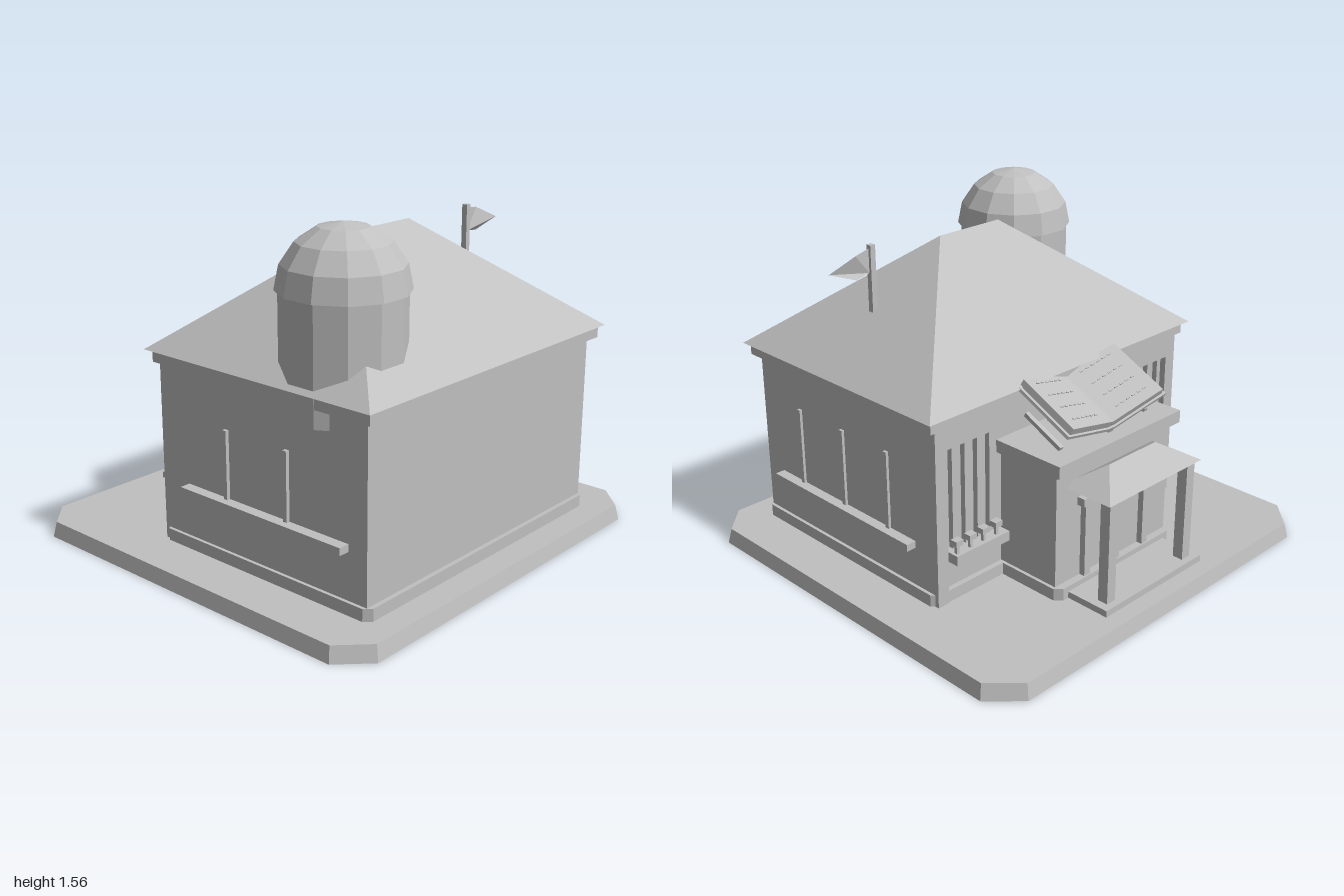
import * as THREE from 'three';

const stone = new THREE.MeshStandardMaterial({ color: 0xc0c0c0, flatShading: true, side: THREE.DoubleSide });
stone.name = 'plain grey';

function add(parent, name, geometry) {
  const mesh = new THREE.Mesh(geometry, stone);
  mesh.name = name;
  parent.add(mesh);
  return mesh;
}

// Box given by its lower and upper limits on each axis
function box(parent, name, x0, x1, y0, y1, z0, z1) {
  const mesh = add(parent, name, new THREE.BoxGeometry(x1 - x0, y1 - y0, z1 - z0));
  mesh.position.set((x0 + x1) / 2, (y0 + y1) / 2, (z0 + z1) / 2);
  return mesh;
}

// Rectangle with cut corners, counterclockwise from above
function ring(x, z0, z1, y, c = 0) {
  return [[-x + c, z1], [x - c, z1], [x, z1 - c], [x, z0 + c],
    [x - c, z0], [-x + c, z0], [-x, z0 + c], [-x, z1 - c]].map(([px, pz]) => [px, y, pz]);
}

// Solid between a lower and an upper ring, with optional floor
function loft(lower, upper, floor) {
  const pos = [];
  const n = lower.length;
  const tri = (...pts) => pts.forEach((p) => pos.push(...p));
  for (let i = 0; i < n; i++) {
    const j = (i + 1) % n;
    tri(lower[i], lower[j], upper[j]);
    tri(lower[i], upper[j], upper[i]);
    if (i > 0 && i < n - 1) {
      tri(upper[0], upper[i], upper[j]);
      if (floor) tri(lower[0], lower[j], lower[i]);
    }
  }
  const geometry = new THREE.BufferGeometry();
  geometry.setAttribute('position', new THREE.Float32BufferAttribute(pos, 3));
  geometry.computeVertexNormals();
  return geometry;
}

function addBuilding(g) {
  // Ground slab is hollow underneath, with the skirtings reaching into it
  add(g, 'groundSlab', loft(ring(1, -0.97, 0.97, 0, 0.13), ring(0.985, -0.955, 0.955, 0.07, 0.125)));
  add(g, 'mainSkirting', loft(ring(0.77, -0.335, 0.835, 0.05, 0.03), ring(0.77, -0.335, 0.835, 0.125, 0.03)));
  add(g, 'wingSkirting', loft(ring(0.375, -0.665, -0.3, 0.05, 0.03), ring(0.375, -0.665, -0.3, 0.125, 0.03)));

  // Main walls, with a shallow recess between the back corners
  box(g, 'mainWalls', -0.755, 0.755, 0.07, 0.88, -0.31, 0.815);
  for (const s of [-1, 1]) {
    box(g, 'cornerPilaster', s * 0.725 - 0.03, s * 0.725 + 0.03, 0.07, 0.88, -0.34, -0.31);
  }
  box(g, 'backLintel', -0.695, 0.695, 0.78, 0.88, -0.34, -0.31);
  box(g, 'cornice', -0.785, 0.785, 0.88, 0.935, -0.35, 0.85);
  add(g, 'mainRoof', loft(ring(0.81, -0.375, 0.87, 0.935), ring(0.175, 0.245, 0.245, 1.43), true));

  // Side sills and upright window strips
  box(g, 'leftSill', 0.75, 0.802, 0.305, 0.337, -0.205, 0.705);
  for (const z of [0.545, 0.25, -0.04]) box(g, 'leftWindowStrip', 0.75, 0.768, 0.337, 0.695, z - 0.01, z + 0.01);
  box(g, 'rightSill', -0.805, -0.75, 0.332, 0.365, -0.18, 0.72);
  for (const z of [0.06, 0.4]) box(g, 'rightWindowStrip', -0.772, -0.75, 0.365, 0.668, z - 0.01, z + 0.01);

  // Back windows: sills and bars on both sides of the wing
  for (const s of [-1, 1]) {
    box(g, 'backSill', s * 0.545 - 0.15, s * 0.545 + 0.15, 0.27, 0.315, -0.395, -0.31);
    for (let i = 0; i < 4; i++) {
      const x = s * (0.44 + i * 0.07);
      box(g, 'backWindowBar', x - 0.012, x + 0.012, 0.315, 0.78, -0.335, -0.31);
    }
  }
  for (let i = 0; i < 4; i++) {
    const x = 0.45 + i * 0.075;
    box(g, 'plantStem', x - 0.007, x + 0.007, 0.315, 0.36, -0.378, -0.364);
    box(g, 'plantHead', x - 0.02, x + 0.02, 0.355, 0.38, -0.39, -0.355);
  }
}

function addTower(g) {
  const tower = new THREE.Group();
  tower.name = 'tower';
  tower.position.set(-0.54, 0, 0.505);
  tower.rotation.y = Math.PI / 12;
  const drum = add(tower, 'towerDrum', new THREE.CylinderGeometry(0.255, 0.255, 0.49, 12));
  drum.position.y = 1.045;
  const profile = [new THREE.Vector2(0.24, 1.29)];
  for (let i = 0; i <= 4; i++) {
    const a = (i * Math.PI) / 8;
    profile.push(new THREE.Vector2(0.27 * Math.cos(a), 1.29 + 0.267 * Math.sin(a)));
  }
  add(tower, 'towerDome', new THREE.LatheGeometry(profile, 12));
  g.add(tower);
}

function addFlag(g) {
  box(g, 'flagPole', 0.502, 0.528, 1.13, 1.452, 0.29, 0.316);
  const shape = new THREE.Shape([[0.528, 1.33], [0.61, 1.32], [0.735, 1.367], [0.61, 1.425], [0.528, 1.437]]
    .map(([x, y]) => new THREE.Vector2(x, y)));
  const flag = new THREE.ShapeGeometry(shape);
  const p = flag.attributes.position;
  for (let i = 0; i < p.count; i++) p.setZ(i, 0.303 - 0.015 * Math.sin((p.getX(i) - 0.528) * 18));
  flag.computeVertexNormals();
  add(g, 'flag', flag);
}

function addEntrance(g) {
  box(g, 'wingWalls', -0.36, 0.36, 0.07, 0.66, -0.63, -0.3);
  box(g, 'wingRoofSlab', -0.387, 0.387, 0.655, 0.712, -0.67, -0.31);

  // Doorway
  for (const x of [-0.19, 0, 0.19]) box(g, 'doorPost', x - 0.018, x + 0.018, 0.07, 0.47, -0.658, -0.63);
  box(g, 'doorLintel', -0.23, 0.23, 0.468, 0.505, -0.668, -0.63);

  // Porch
  add(g, 'porchFloor', loft(ring(0.315, -0.877, -0.64, 0.05), ring(0.315, -0.877, -0.64, 0.1)));
  box(g, 'doorStep', -0.24, 0.24, 0.03, 0.08, -0.76, -0.68);
  for (const x of [-0.25, 0.25]) box(g, 'porchColumn', x - 0.025, x + 0.025, 0.1, 0.57, -0.845, -0.795);
  add(g, 'porchRoof', loft(ring(0.298, -0.862, -0.59, 0.57), ring(0.147, -0.726, -0.726, 0.66), true));
}

function addBook(g) {
  box(g, 'bookStand', -0.1, 0.1, 0.71, 0.8, -0.48, -0.33);
  const book = new THREE.Group();
  book.name = 'openBook';
  book.position.set(0, 0.725, -0.595);
  book.rotation.x = -0.44;
  for (const s of [-1, 1]) {
    // Each half rises from the spine towards its outer edge
    const half = new THREE.Group();
    half.name = s > 0 ? 'leftHalf' : 'rightHalf';
    half.rotation.z = s * 0.27;
    const span = (name, a, b, y0, y1, z0, z1) =>
      box(half, name, Math.min(s * a, s * b), Math.max(s * a, s * b), y0, y1, z0, z1);
    span('bookCover', 0, 0.325, 0, 0.014, -0.01, 0.32);
    span('bookPages', 0.01, 0.308, 0.014, 0.045, 0, 0.31);
    for (let row = 0; row < 4; row++) {
      for (let i = 0; i < 6; i++) {
        const x = 0.075 + i * 0.032;
        const z = 0.05 + row * 0.075;
        span('pageMark', x, x + 0.018, 0.045, 0.049, z, z + 0.006);
      }
    }
    book.add(half);
  }
  box(book, 'bookSpine', -0.015, 0.015, -0.005, 0.02, -0.01, 0.32);
  g.add(book);

  // Slanted props beside the book
  for (const s of [-1, 1]) {
    const prop = box(g, 'bookProp', s * 0.27 - 0.01, s * 0.27 + 0.01, 0.755, 0.775, -0.58, -0.36);
    prop.rotation.x = -0.44;
  }
}

export function createModel() {
  const model = new THREE.Group();
  model.name = 'schoolhouse';
  addBuilding(model);
  addTower(model);
  addFlag(model);
  addEntrance(model);
  addBook(model);
  return model;
}
